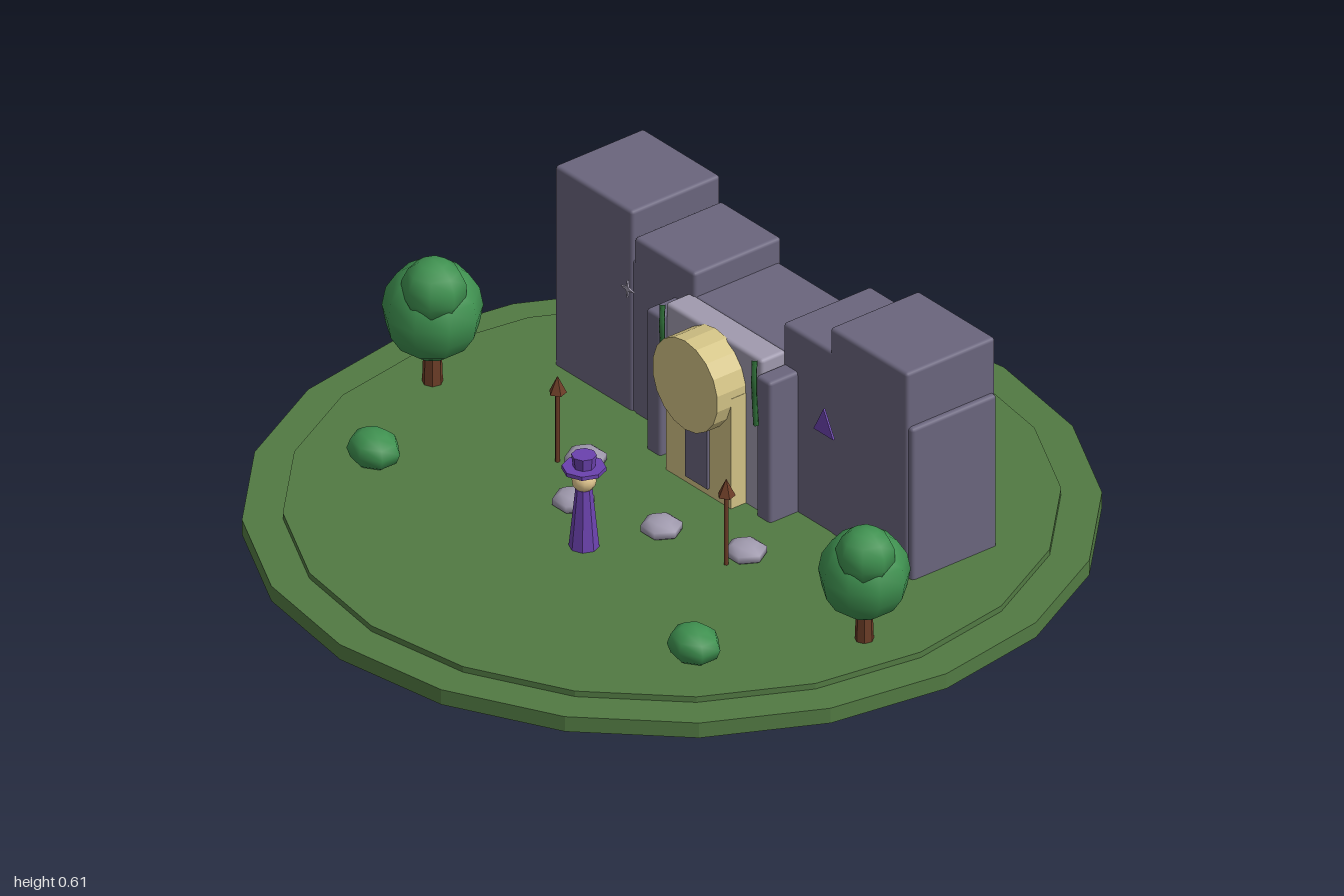
import * as THREE from 'three';
import { toCreasedNormals } from 'three/addons/utils/BufferGeometryUtils.js';
import { RoundedBoxGeometry } from 'three/addons/geometries/RoundedBoxGeometry.js';

const GROUND = 0.055;

function material(name, color) {
  const m = new THREE.MeshStandardMaterial({ color });
  m.name = name;
  return m;
}

export function createModel() {
  const model = new THREE.Group();
  model.name = 'castleGateScene';
  const grass = material('grass', 0x527a43);
  const wall = material('wallStone', 0x6a657d);
  const pale = material('paleStone', 0xa09aae);
  const gold = material('sandstone', 0xd2c285);
  const leaf = material('leaf', 0x3f9150);
  const ivy = material('ivy', 0x2f6e38);
  const wood = material('wood', 0x6b3c26);
  const purple = material('purple', 0x6b42ae);
  const skin = material('skin', 0xe3c890);

  const add = (name, geo, mat, x = 0, y = 0, z = 0, parent = model) => {
    const mesh = new THREE.Mesh(geo, mat);
    mesh.name = name;
    mesh.position.set(x, y, z);
    parent.add(mesh);
    return mesh;
  };
  const group = (name, x, z) => {
    const g = new THREE.Group();
    g.name = name;
    g.position.set(x, GROUND, z);
    model.add(g);
    return g;
  };
  const drum = (rTop, rBottom, h, sides) =>
    toCreasedNormals(new THREE.CylinderGeometry(rTop, rBottom, h, sides), 0.2);
  // Softly bevelled block given by its extents, standing on the ground
  const block = (name, x0, x1, top, z0, z1, mat = wall) => {
    const w = x1 - x0, h = top - GROUND + 0.01, d = z1 - z0;
    return add(name, new RoundedBoxGeometry(w, h, d, 2, 0.009), mat, (x0 + x1) / 2, top - h / 2, (z0 + z1) / 2);
  };

  // Two-step island
  add('islandBase', drum(1, 1, 0.04, 20), grass, 0, 0.02, 0);
  add('islandTop', drum(0.905, 0.905, 0.02, 20), grass, 0, 0.045, 0);

  // Castle wall and towers of stepped heights
  block('longWall', -0.64, 0.64, 0.46, -0.45, -0.195);
  block('outerTowerRight', -0.657, -0.375, 0.59, -0.457, -0.19);
  block('innerTowerRight', -0.37, -0.15, 0.525, -0.455, -0.192);
  block('innerTowerLeft', 0.172, 0.36, 0.54, -0.455, -0.192);
  block('outerTowerLeft', 0.345, 0.626, 0.605, -0.457, -0.19);

  // Gatehouse: pale slab between dark posts
  block('gateSlab', -0.175, 0.175, 0.462, -0.2, -0.125, pale);
  for (const s of [-1, 1]) {
    block('gatePost', s * 0.2 - 0.026, s * 0.2 + 0.026, 0.43, -0.2, -0.108);
  }

  // Sandstone portal with a projecting round head
  add('portalBody', new THREE.BoxGeometry(0.236, 0.295, 0.05), gold, 0, 0.2025, -0.105);
  const head = add('portalHead', toCreasedNormals(new THREE.CylinderGeometry(0.119, 0.119, 0.092, 18), 0.2),
    gold, 0, 0.35, -0.085);
  head.rotation.x = Math.PI / 2;
  add('door', new THREE.BoxGeometry(0.08, 0.18, 0.008), wall, 0, 0.165, -0.077);

  // Hanging ivy beside the portal
  for (const x of [-0.155, 0.18]) {
    const path = new THREE.CatmullRomCurve3([
      [-0.006, 0.47, -0.105], [0.004, 0.42, -0.095], [0, 0.37, -0.1], [0.008, 0.305, -0.098],
    ].map(([dx, y, z]) => new THREE.Vector3(x + dx, y, z)));
    add('ivy', new THREE.TubeGeometry(path, 12, 0.007, 5), ivy);
  }

  // Wall emblems: triangle and four-pointed star
  const emblem = (points) => {
    const shape = new THREE.Shape(points.map(([x, y]) => new THREE.Vector2(x, y)));
    return new THREE.ExtrudeGeometry(shape, { depth: 0.005, bevelEnabled: false });
  };
  add('triangleEmblem', emblem([[-0.036, -0.034], [0.036, -0.034], [0, 0.034]]), purple, 0.355, 0.366, -0.167);
  const star = Array.from({ length: 8 }, (_, i) => {
    const r = i % 2 ? 0.006 : 0.024, a = (i * Math.PI) / 4;
    return [r * Math.cos(a), r * Math.sin(a)];
  });
  add('starEmblem', emblem(star), pale, -0.36, 0.4, -0.167);

  // Spears
  for (const x of [-0.308, 0.306]) {
    const g = group('spear', x, 0.09);
    add('shaft', new THREE.CylinderGeometry(0.006, 0.006, 0.19, 6), wood, 0, 0.095, 0, g);
    add('tip', drum(0, 0.022, 0.045, 5), wood, 0, 0.207, 0, g);
  }

  // Stepping stones
  for (const [x, z] of [[-0.26, 0.045], [-0.13, 0.19], [0.095, 0.11], [0.305, 0.03]]) {
    add('stone', new THREE.SphereGeometry(0.053, 6, 5), pale, x, 0.068, z).scale.set(1, 0.5, 0.98);
  }

  // Bushes
  for (const s of [-1, 1]) {
    add('bush', new THREE.SphereGeometry(0.07, 7, 6), leaf, s * 0.583, 0.087, 0.415).scale.set(1, 0.69, 0.86);
  }

  // Trees: trunk with a large and a small crown
  for (const [x, z, k] of [[-0.775, 0.08, 1], [0.775, 0.062, 0.91]]) {
    const g = group('tree', x, z);
    g.scale.setScalar(k);
    add('trunk', drum(0.02, 0.025, 0.14, 7), wood, 0, 0.07, 0, g);
    add('crown', new THREE.SphereGeometry(0.12, 9, 8), leaf, 0, 0.195, 0, g).scale.y = 1.03;
    add('upperCrown', new THREE.SphereGeometry(0.078, 8, 7), leaf, 0.038, 0.277, 0.028, g);
  }

  // Robed figure with a brimmed hat
  const figure = group('robedFigure', 0.03, 0.29);
  add('robe', drum(0.02, 0.036, 0.155, 8), purple, 0, 0.0775, 0, figure);
  add('head', new THREE.SphereGeometry(0.03, 10, 8), skin, 0, 0.178, 0, figure);
  add('hatBrim', drum(0.052, 0.052, 0.01, 8), purple, 0, 0.209, 0, figure);
  add('hatCrown', drum(0.03, 0.025, 0.04, 8), purple, 0, 0.225, 0, figure);

  return model;
}
